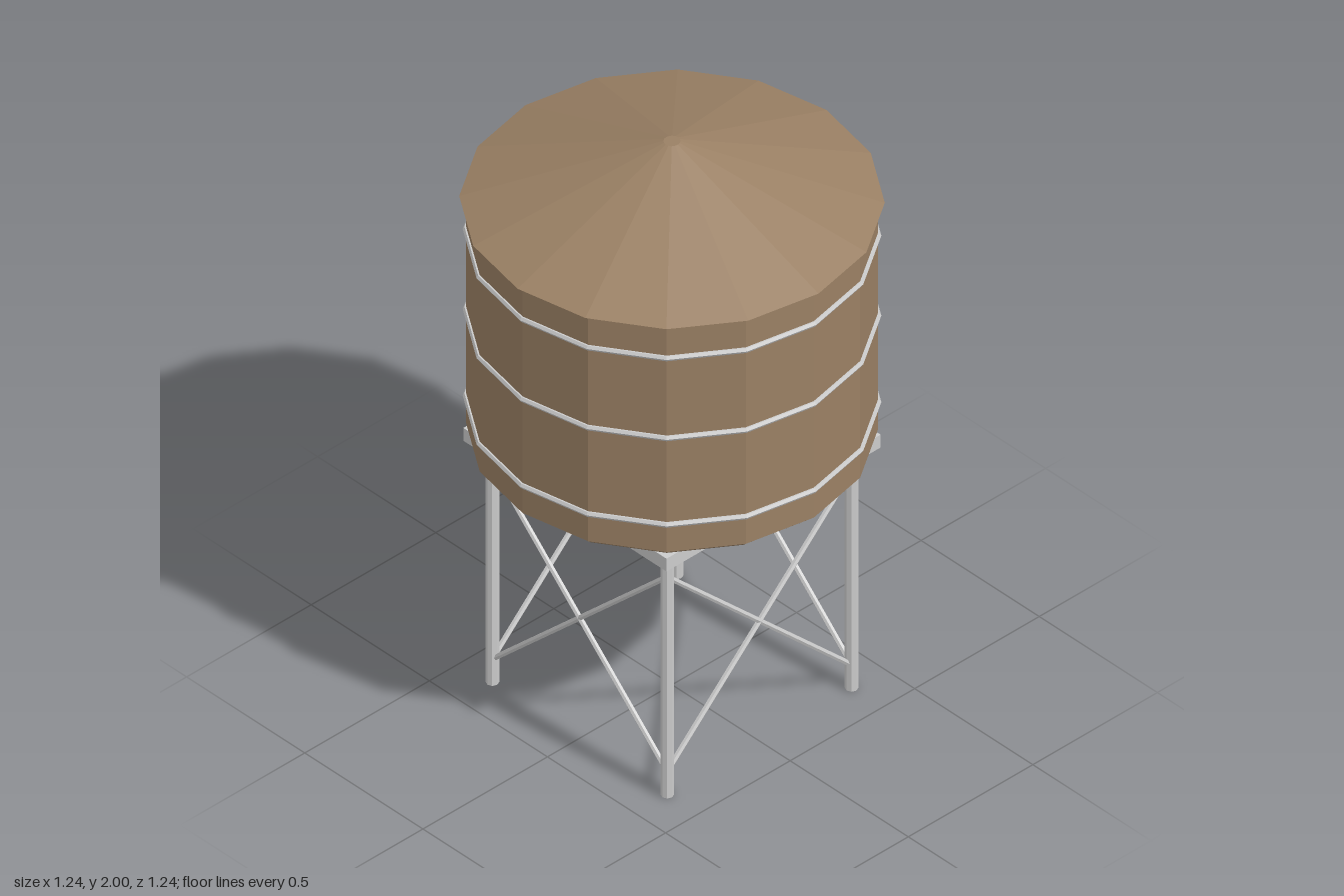
import * as THREE from 'three';

const SIDES = 16;

export function createModel() {
  const model = new THREE.Group();
  model.name = 'waterTower';
  const wood = new THREE.MeshStandardMaterial({ color: 0x9a8064, flatShading: true });
  const metal = new THREE.MeshStandardMaterial({ color: 0xcccccc, flatShading: true });

  function add(name, geometry, material, parent = model) {
    const mesh = new THREE.Mesh(geometry, material);
    mesh.name = name;
    parent.add(mesh);
    return mesh;
  }

  // Closed faceted solid turned from [radius, y] points
  const turned = (points) =>
    new THREE.LatheGeometry(points.map(([r, y]) => new THREE.Vector2(r, y)), SIDES);

  // Round bar between two points
  function bar(name, a, b, radius, sides, parent) {
    const dir = b.clone().sub(a);
    const mesh = add(name, new THREE.CylinderGeometry(radius, radius, dir.length(), sides), metal, parent);
    mesh.position.copy(a).add(b).multiplyScalar(0.5);
    mesh.quaternion.setFromUnitVectors(new THREE.Vector3(0, 1, 0), dir.normalize());
  }

  // Tank with a chamfered bottom edge, and a shallow overhanging roof
  add('tank', turned([[0, 0.932], [0.58, 0.932], [0.6, 0.95], [0.6, 1.787], [0, 1.787]]), wood);
  add('roof', turned([[0, 1.785], [0.62, 1.785], [0.025, 2], [0, 2]]), wood);

  // Hoops, their corners lined up with the tank's
  for (const y of [1.052, 1.37, 1.664]) {
    const hoop = add('hoop', new THREE.TorusGeometry(0.6, 0.01, 6, SIDES), metal);
    hoop.rotation.x = Math.PI / 2;
    hoop.position.y = y;
  }

  // Square platform
  add('platform', new THREE.BoxGeometry(0.86, 0.047, 0.86), metal).position.y = 0.9085;

  // One leg and one pair of crossed braces for each side of the stand
  const d = 0.37;
  for (let i = 0; i < 4; i++) {
    const side = new THREE.Group();
    side.name = 'standSide';
    side.rotation.y = (i * Math.PI) / 2;
    model.add(side);
    bar('leg', new THREE.Vector3(d, 0, d), new THREE.Vector3(d, 0.89, d), 0.02, 8, side);
    for (const s of [-1, 1]) {
      bar('brace', new THREE.Vector3(-s * d, 0.085, d), new THREE.Vector3(s * d, 0.8, d), 0.009, 6, side);
    }
  }
  return model;
}
